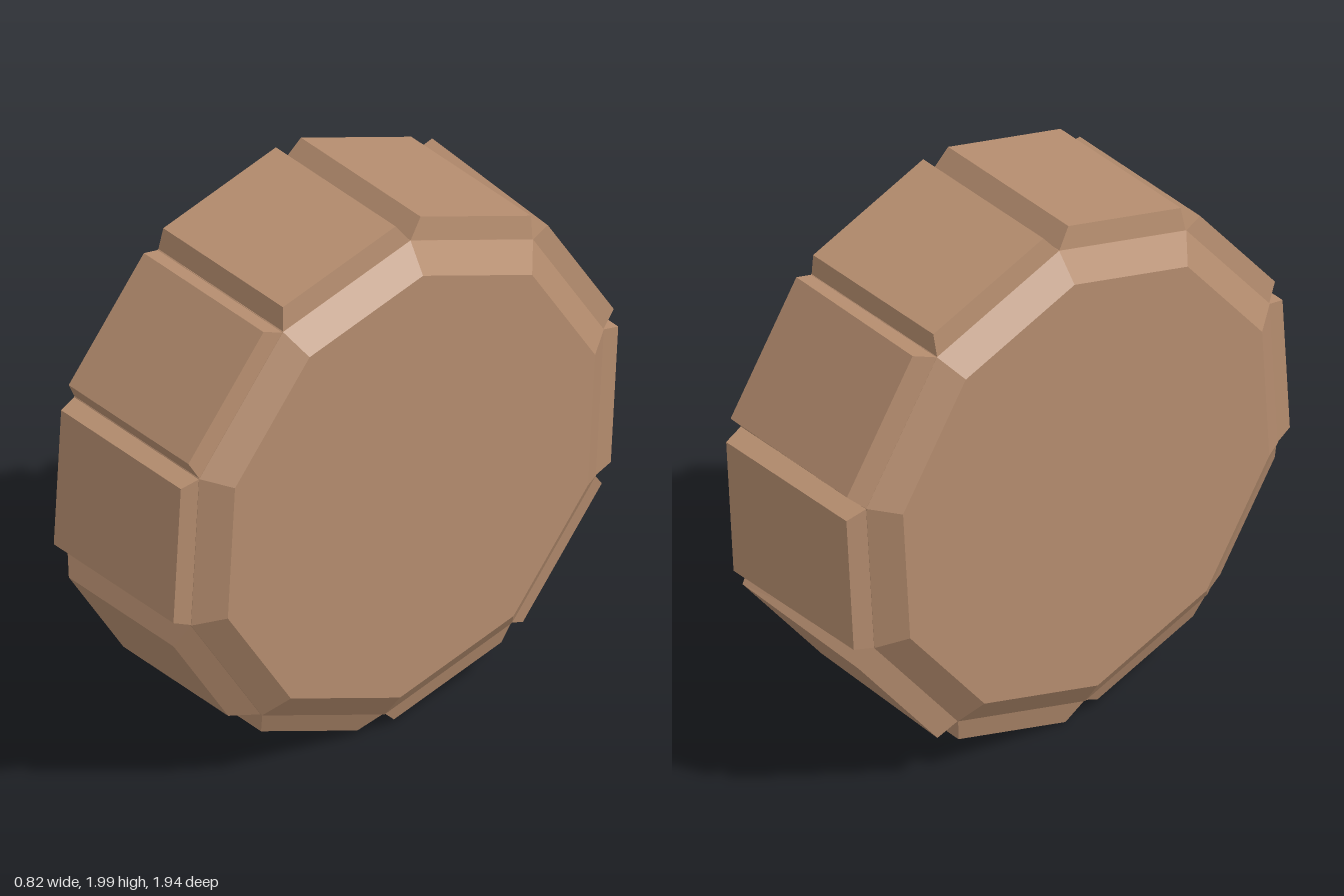
import * as THREE from 'three';

const rad = THREE.MathUtils.degToRad;
const START = 3.5; // degrees by which the wheel is turned about its axle
const SIDES = 10;

const material = new THREE.MeshStandardMaterial({ color: 0xb48c6e, flatShading: true });

// Ten-sided drum with bevelled rims, lying along x
function makeDrum() {
  const profile = [[0, -0.41], [0.825, -0.41], [0.927, -0.335], [0.927, 0.335], [0.825, 0.41], [0, 0.41]];
  const geometry = new THREE.LatheGeometry(
    profile.map(([r, h]) => new THREE.Vector2(r, h)), SIDES, -rad(START + 18));
  geometry.rotateZ(-Math.PI / 2);
  const drum = new THREE.Mesh(geometry, material);
  drum.name = 'drum';
  return drum;
}

// Tapered pad on one side of the drum; its top may lean slightly along x
function makePad({ left, right, halfX, halfT }) {
  const geometry = new THREE.BoxGeometry(1, 1, 1);
  const p = geometry.attributes.position;
  for (let i = 0; i < p.count; i++) {
    const sx = Math.sign(p.getX(i)), sz = Math.sign(p.getZ(i));
    if (p.getY(i) > 0) p.setXYZ(i, sx * halfX, sx > 0 ? left : right, sz * halfT);
    else p.setXYZ(i, sx * 0.335, 0.875, sz * 0.287);
  }
  geometry.computeVertexNormals();
  return new THREE.Mesh(geometry, material);
}

// Top height at +x and -x, then half width and half length, going up from the front
const pads = [
  [0.948, 0.948, 0.32, 0.262],
  [0.951, 0.951, 0.32, 0.257],
  [0.963, 0.963, 0.32, 0.253],
  [0.963, 0.963, 0.32, 0.258],
  [0.955, 0.985, 0.325, 0.267],
  [0.958, 0.958, 0.32, 0.265],
  [0.945, 0.968, 0.32, 0.27],
  [0.952, 0.966, 0.31, 0.241],
  [0.959, 0.959, 0.295, 0.225],
  [0.961, 0.961, 0.28, 0.221],
];

export function createModel() {
  const model = new THREE.Group();
  model.name = 'tenSidedWheel';

  const wheel = new THREE.Group();
  wheel.name = 'wheel';
  wheel.position.set(0, 1.006, 0.005);
  wheel.add(makeDrum());

  pads.forEach(([left, right, halfX, halfT], i) => {
    const pad = makePad({ left, right, halfX, halfT });
    pad.name = `facePad${i + 1}`;
    pad.rotation.x = Math.PI / 2 - rad(START + i * 360 / SIDES);
    wheel.add(pad);
  });

  model.add(wheel);
  return model;
}
